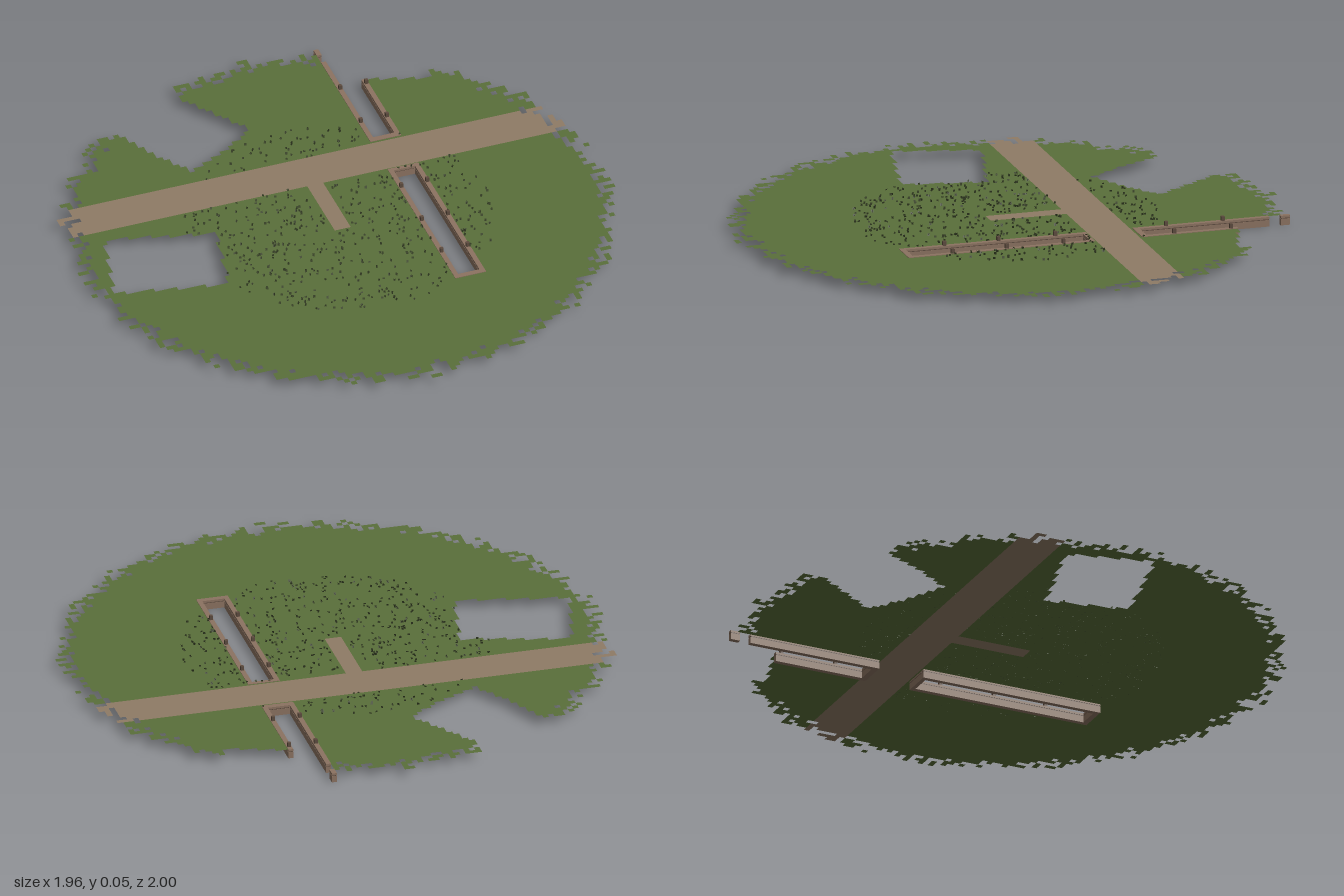
import * as THREE from 'three';
import { mergeGeometries } from 'three/addons/utils/BufferGeometryUtils.js';

const CELL = 0.02, GROUND_Y = 0.033;

function seeded(seed) {
  let s = seed;
  return () => {
    s = (s * 1664525 + 1013904223) % 4294967296;
    return s / 4294967296;
  };
}

function inside(poly, x, z) {
  let hit = false;
  for (let i = 0, j = poly.length - 1; i < poly.length; j = i++) {
    const [ax, az] = poly[i], [bx, bz] = poly[j];
    if ((az > z) !== (bz > z) && x < ((bx - ax) * (z - az)) / (bz - az) + ax) hit = !hit;
  }
  return hit;
}

// Openings in the ground, as x, z outlines
const rect = (x0, x1, z0, z1) => [[x0, z0], [x1, z0], [x1, z1], [x0, z1]];
const openings = [
  [[-0.82, -0.17], [-0.44, -0.07], [-0.5, 0.23], [-0.9, 0.14]],
  [[-0.58, -0.77], [-0.47, -0.57], [-0.39, -0.44], [-0.14, -0.58], [-0.12, -0.62],
    [-0.27, -0.85], [-0.28, -1.1], [-0.64, -1.1], [-0.64, -0.77]],
  [[0.36, -1.1], [0.36, -0.75], [0.56, -0.68], [0.61, -0.68], [0.61, -0.76], [0.66, -1.1]],
  rect(0.26, 0.37, -0.2, 0.46),
  rect(0.26, 0.37, -1.1, -0.4),
];

const isPath = (x, z) =>
  (z > -0.38 && z < -0.22) || (x > -0.05 && x < 0.03 && z > -0.22 && z < 0.065);

// Which surface covers a cell: 'grass', 'path' or nothing
function surfaceAt(x, z, random) {
  const chance = random();
  if (openings.some((p) => inside(p, x, z))) return null;
  const r = Math.hypot(x, z);
  const edge = (r - 0.905) / 0.085;
  const tip = r < 1 && Math.abs(x) < 0.02 && Math.abs(z) > 0.98;
  if (edge > chance && !tip) return null;
  return isPath(x, z) ? 'path' : 'grass';
}

function flatQuad(x0, x1, z0, z1) {
  return new THREE.PlaneGeometry(x1 - x0, z1 - z0)
    .rotateX(-Math.PI / 2)
    .translate((x0 + x1) / 2, GROUND_Y, (z0 + z1) / 2);
}

// Ground sheet made of rows of cells with a ragged rim
function groundSheets() {
  const random = seeded(11);
  const sheets = { grass: [], path: [] };
  for (let row = -50; row < 50; row++) {
    let start = -50, kind = null;
    for (let col = -50; col <= 50; col++) {
      const next = col < 50
        ? surfaceAt((col + 0.5) * CELL, (row + 0.5) * CELL, random) : null;
      if (next === kind) continue;
      if (kind) sheets[kind].push(flatQuad(start * CELL, col * CELL, row * CELL, (row + 1) * CELL));
      start = col;
      kind = next;
    }
  }
  return sheets;
}

// Small crossed blades scattered around the centre
function tuftGeometry() {
  const random = seeded(5);
  const blades = [];
  while (blades.length < 1100) {
    const r = 0.55 * Math.sqrt(random()), a = random() * Math.PI * 2;
    const x = r * Math.cos(a), z = r * Math.sin(a);
    const turn = random() * Math.PI, h = 0.006 + random() * 0.005;
    if (isPath(x, z) || openings.some((p) => inside(p, x, z))) continue;
    for (const extra of [0, Math.PI / 2]) {
      blades.push(new THREE.PlaneGeometry(0.008, h)
        .rotateX(0.35)
        .rotateY(turn + extra)
        .translate(x, GROUND_Y + h / 2 - 0.001, z));
    }
  }
  return mergeGeometries(blades);
}

export function createModel() {
  const model = new THREE.Group();
  const make = (name, color, side = THREE.FrontSide) => {
    const m = new THREE.MeshStandardMaterial({ color, side });
    m.name = name;
    return m;
  };
  const grass = make('grass green', 0x5a6f3a, THREE.DoubleSide);
  const path = make('path brown', 0x8f7b66, THREE.DoubleSide);
  const tuft = make('tuft green', 0x3f4a2c, THREE.DoubleSide);
  const wall = make('wall brown', 0x8c7361);
  const dark = make('post brown', 0x5e4c3f);

  const add = (name, geometry, material, parent = model) => {
    const mesh = new THREE.Mesh(geometry, material);
    mesh.name = name;
    parent.add(mesh);
  };

  const sheets = groundSheets();
  add('grassGround', mergeGeometries(sheets.grass), grass);
  add('paths', mergeGeometries(sheets.path), path);
  add('grassTufts', tuftGeometry(), tuft);

  // Channel lining: low walls with a dark seam and a rim on top
  const lining = new THREE.Group();
  lining.name = 'channelLining';
  model.add(lining);
  const addWall = (name, x0, x1, z0, z1) => {
    const layer = (label, y0, y1, inset, material) => add(label,
      new THREE.BoxGeometry(x1 - x0 - inset, y1 - y0, z1 - z0 - inset)
        .translate((x0 + x1) / 2, (y0 + y1) / 2, (z0 + z1) / 2), material, lining);
    layer(name, 0, 0.024, 0, wall);
    layer(name + 'Seam', 0.024, 0.027, 0.002, dark);
    layer(name + 'Rim', 0.027, 0.035, 0, wall);
  };
  const L = [0.26, 0.278], R = [0.358, 0.376];
  addWall('frontLeftWall', ...R, -0.215, 0.475);
  addWall('frontRightWall', ...L, -0.215, 0.475);
  addWall('frontEndWall', L[1], R[0], 0.455, 0.475);
  addWall('frontInnerEndWall', L[1], R[0], -0.215, -0.2);
  addWall('backLeftWall', ...R, -0.745, -0.388);
  addWall('backRightWall', ...L, -0.89, -0.388);
  addWall('backInnerEndWall', L[1], R[0], -0.41, -0.388);
  addWall('looseWallPiece', ...L, -0.967, -0.932);

  // Short posts along both walls
  for (const z of [0.31, 0.11, -0.1, -0.51, -0.72]) {
    for (const x of [0.269, 0.367]) {
      add('post', new THREE.BoxGeometry(0.012, 0.018, 0.012).translate(x, 0.042, z), dark, lining);
    }
  }
  return model;
}
